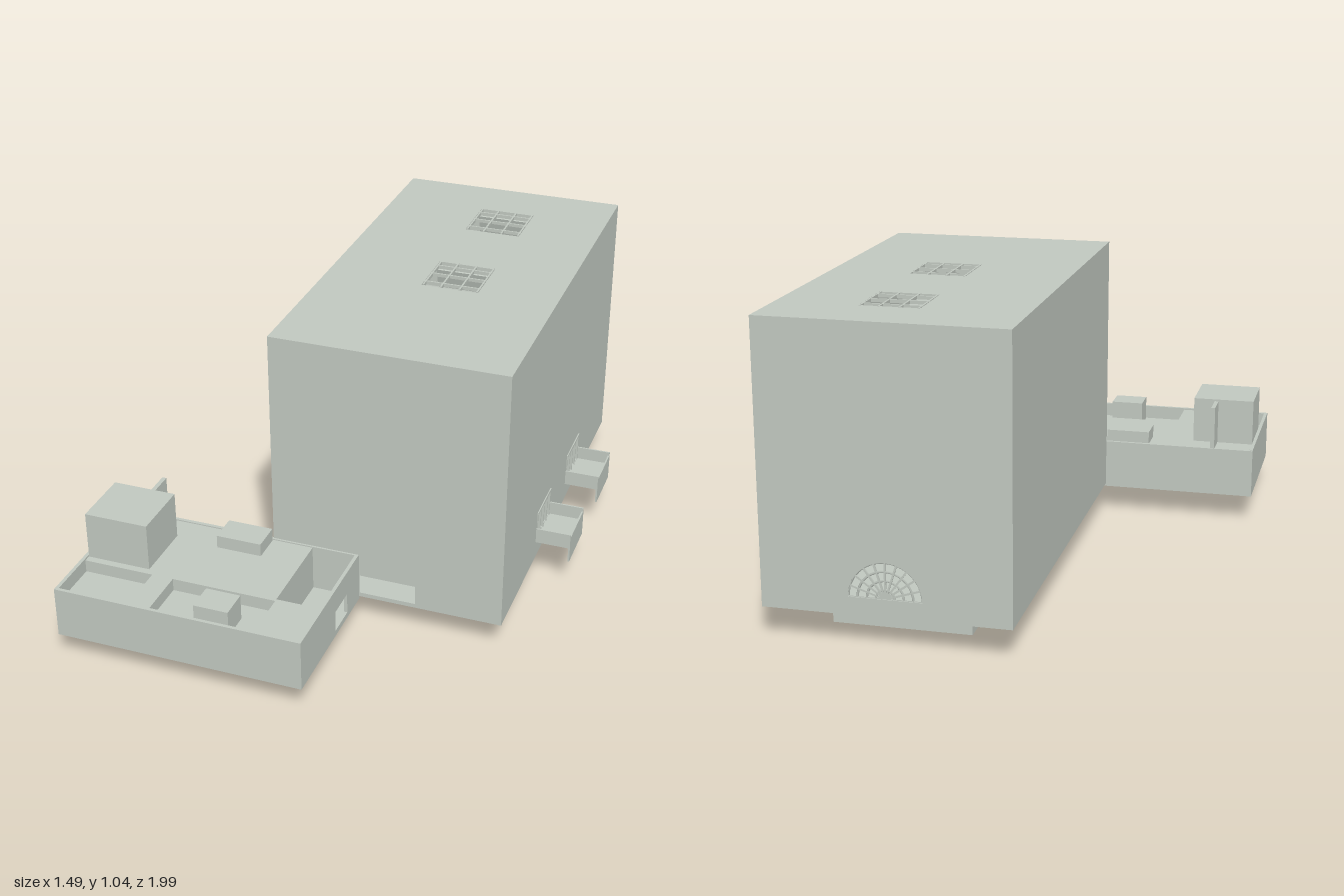
import * as THREE from 'three';

export function createModel() {
  const model = new THREE.Group();
  const stone = new THREE.MeshStandardMaterial({ color: 0xc0c7bf, side: THREE.DoubleSide });
  stone.name = 'paleStone';
  const T = 0.012;

  const add = (name, geo) => {
    const mesh = new THREE.Mesh(geo, stone);
    mesh.name = name;
    model.add(mesh);
    return mesh;
  };
  // Box from its minimum and maximum corners
  const box = (name, x0, x1, y0, y1, z0, z1) => add(name,
    new THREE.BoxGeometry(x1 - x0, y1 - y0, z1 - z0)
      .translate((x0 + x1) / 2, (y0 + y1) / 2, (z0 + z1) / 2));
  const rect = (C, a0, a1, b0, b1) => {
    const s = new C();
    s.moveTo(a0, b0); s.lineTo(a1, b0); s.lineTo(a1, b1); s.lineTo(a0, b1); s.closePath();
    return s;
  };
  const hole = (...r) => rect(THREE.Path, ...r);
  // Flat slab with openings, extruded by T along z
  const slab = (a0, a1, b0, b1, holes) => {
    const s = rect(THREE.Shape, a0, a1, b0, b1);
    s.holes.push(...holes);
    return new THREE.ExtrudeGeometry(s, { depth: T, bevelEnabled: false, curveSegments: 20 });
  };

  // Hollow main hall
  const X0 = -0.19, X1 = 0.622, Y0 = 0.105, Y1 = 1.04, Z0 = -1, Z1 = 0.465;
  const archX = 0.216, archY = 0.165, archR = 0.12;
  const balconies = [-0.06, -0.475];
  const skylights = [-0.18, -0.69];

  box('hallFloor', X0, X1, Y0, Y0 + T, Z0, Z1);
  box('rightWall', X0, X0 + T, Y0 + T, Y1 - T, Z0, Z1);
  add('frontWall', slab(X0 + T, X1 - T, Y0 + T, Y1 - T, [hole(0, 0.32, 0.12, 0.19)]).translate(0, 0, Z1 - T));

  const arch = new THREE.Path();
  arch.moveTo(archX - archR, archY);
  arch.lineTo(archX + archR, archY);
  arch.absarc(archX, archY, archR, 0, Math.PI, false);
  add('backWall', slab(X0 + T, X1 - T, Y0 + T, Y1 - T, [arch]).translate(0, 0, Z0));
  add('leftWall', slab(-Z1, -Z0, Y0 + T, Y1 - T,
    balconies.map(z => hole(-z - 0.088, -z + 0.088, 0.18, 0.285)))
    .rotateY(Math.PI / 2).translate(X1 - T, 0, 0));
  add('roof', slab(X0, X1, -Z1, -Z0,
    skylights.map(z => hole(0.15, 0.35, -z - 0.105, -z + 0.1)))
    .rotateX(-Math.PI / 2).translate(0, Y1 - T, 0));

  // Fan window in the back wall
  for (let r = 1; r <= 4; r++) {
    add('fanRing', new THREE.TorusGeometry(archR * r / 4, 0.004, 4, 24, Math.PI)
      .translate(archX, archY, Z0 + T / 2));
  }
  for (let i = 0; i <= 10; i++) {
    add('fanSpoke', new THREE.BoxGeometry(archR, 0.006, 0.006)
      .translate(archR / 2, 0, 0).rotateZ(Math.PI * i / 10)
      .translate(archX, archY, Z0 + T / 2));
  }

  // Skylight bars and the slanted reveals below them
  skylights.forEach((z, k) => {
    for (const x of [0.155, 0.217, 0.283, 0.345])
      box('skylightBar', x - 0.003, x + 0.003, Y1 - 0.01, Y1 + 0.001, z - 0.105, z + 0.1);
    for (const dz of [-0.068, 0, 0.07])
      box('skylightCrossbar', 0.15, 0.35, Y1 - 0.01, Y1 + 0.001, z + dz - 0.003, z + dz + 0.003);
    for (const s of k === 0 ? [-1, 1] : [-1]) {
      add('skylightReveal', new THREE.BoxGeometry(0.2, 0.12, 0.006)
        .rotateX(-s * 0.3).translate(0.25, Y1 - T - 0.06, z + s * 0.085));
    }
  });

  // Foundation
  box('foundation', -0.015, 0.45, 0, Y0, -0.83, 0.105);

  // Balconies with barred windows
  for (const z of balconies) {
    box('balconyFloor', X1, 0.745, 0.17, 0.178, z - 0.096, z + 0.094);
    box('balconyFront', 0.739, 0.745, 0.115, 0.212, z - 0.096, z + 0.094);
    for (const s of [-1, 1])
      box('balconySide', X1, 0.745, 0.17, 0.225, z + s * 0.093 - 0.003, z + s * 0.093 + 0.003);
    for (const dz of [-0.085, -0.043, 0, 0.043, 0.085])
      box('windowBar', X1 - T, X1 + 0.002, 0.178, 0.287, z + dz - 0.003, z + dz + 0.003);
    box('windowHead', X1 - T, X1 + 0.004, 0.279, 0.287, z - 0.088, z + 0.088);
  }

  // Front annex: tray with rim walls
  const A0 = -0.745, A1 = 0.12, B0 = 0.46, B1 = 0.992, low = 0.095, top = 0.275;
  box('annexBase', A0, A1, low, low + T, B0, B1);
  box('annexFrontWall', A0, A1, low, top, B1 - T, B1);
  box('annexBackWall', A0, A1, low, top - 0.002, B0, B0 + T);
  box('annexRightWall', A0, A0 + T, low, top, B0 + T, B1 - T);
  add('annexLeftWall', slab(-B1 + T, -B0 - T, low, top, [hole(-0.69, -0.58, 0.115, 0.19)])
    .rotateY(Math.PI / 2).translate(A1 - T, 0, 0));

  // Raised decks and sunken courts
  const deck = top - 0.006;
  box('mainDeck', A0 + T, -0.045, low + T, deck, B0 + T, 0.8);
  box('frontDeck', -0.485, -0.41, low + T, deck, 0.8, B1 - T);
  box('cornerDeck', -0.045, A1 - T, low + T, deck, 0.79, B1 - T);
  box('cornerCourt', A0 + T, -0.485, low + T, 0.225, 0.8, B1 - T);
  box('middleCourt', -0.41, -0.045, low + T, 0.225, 0.8, B1 - T);

  // Rooftop blocks
  box('tower', -0.732, -0.508, deck, 0.437, 0.56, 0.775);
  box('screenWall', -0.6, -0.585, deck, 0.43, 0.465, 0.56);
  box('rearBlock', -0.35, -0.19, deck, 0.315, 0.475, 0.578);
  box('courtBlock', -0.255, -0.135, 0.225, 0.315, 0.87, 0.97);

  return model;
}
